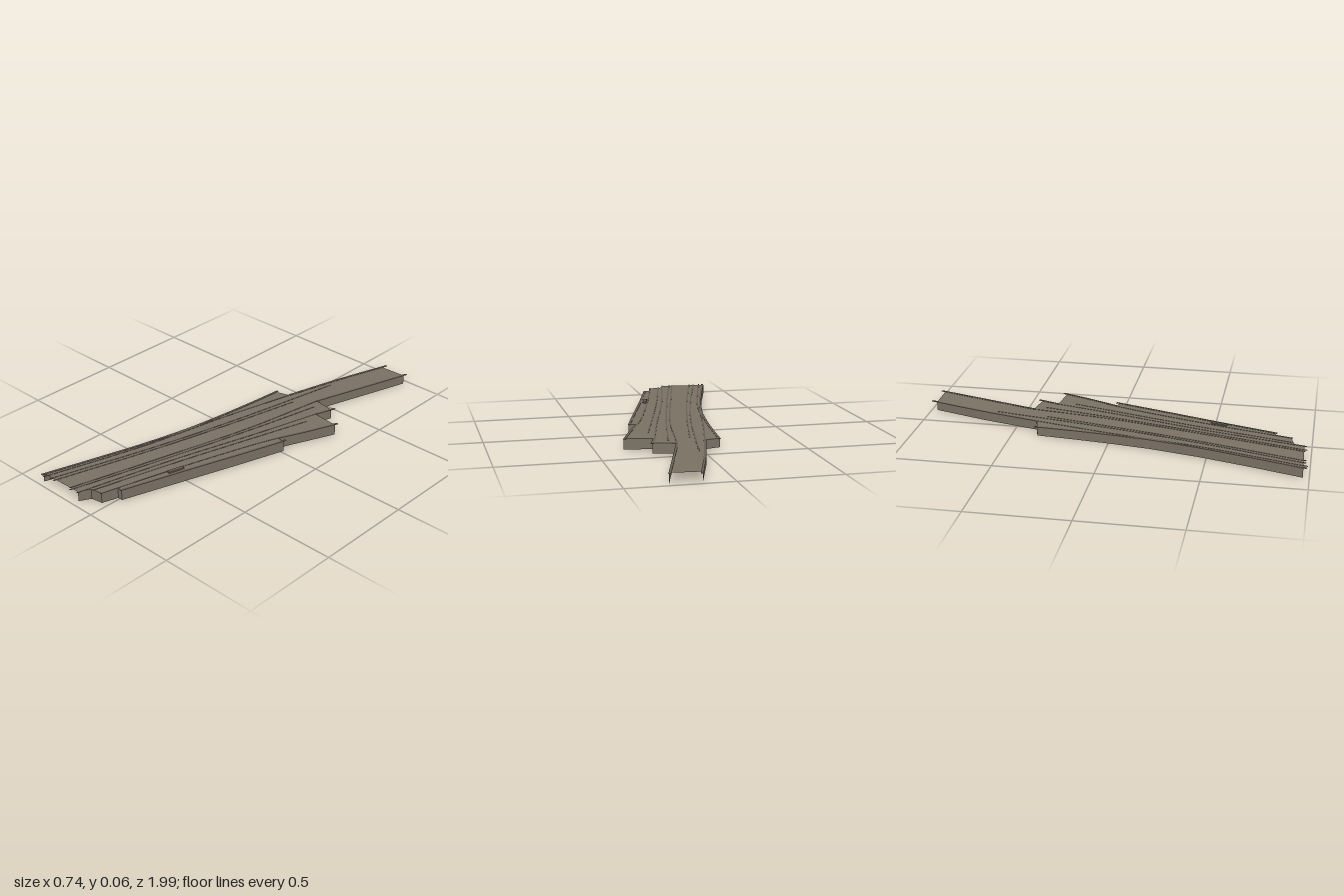
import * as THREE from 'three';

// deck outline in x,z, split into runs: left side, back end (open), right side, front end (open)
const leftSide = [[-0.37, 0.97], [-0.29, 0.71], [-0.22, 0.46], [-0.165, 0.21], [-0.135, 0], [-0.115, -0.18], [-0.098, -0.37],
  [-0.024, -0.39], [0.055, -0.69], [0.145, -0.97]];
const rightSide = [[0.295, -0.97], [0.135, -0.44], [0.245, -0.42], [0.22, -0.33], [0.362, -0.31], [0.24, -0.02],
  [0.278, -0.015], [0.2, 0.24], [0.12, 0.49], [0.015, 0.82], [-0.01, 0.82], [-0.035, 0.9], [-0.095, 0.91], [-0.125, 0.965]];

// the deck is a gently tilted plane
const deckY = (x, z) => 0.047 + (x + 0.3 * z + 0.08) * 0.024;

function flatShape(points) {
  return new THREE.Shape(points.map(([x, z]) => new THREE.Vector2(x, -z)));
}

// lay a flat geometry on the tilted deck
function layOnDeck(geometry, lift) {
  geometry.rotateX(-Math.PI / 2);
  const p = geometry.attributes.position;
  for (let i = 0; i < p.count; i++) p.setY(i, p.getY(i) + deckY(p.getX(i), p.getZ(i)) + lift);
  geometry.computeVertexNormals();
  return geometry;
}

// vertical wall from the ground to the deck edge
function skirt(points) {
  const pos = [];
  for (let i = 0; i < points.length - 1; i++) {
    const [ax, az] = points[i], [bx, bz] = points[i + 1];
    const ay = deckY(ax, az), by = deckY(bx, bz);
    pos.push(ax, 0, az, bx, by, bz, bx, 0, bz, ax, 0, az, ax, ay, az, bx, by, bz);
  }
  const g = new THREE.BufferGeometry();
  g.setAttribute('position', new THREE.Float32BufferAttribute(pos, 3));
  g.computeVertexNormals();
  return g;
}

// thin raised strip following a path over the deck
function strip(points, width, height) {
  const curve = new THREE.CatmullRomCurve3(points.map(([x, z]) => new THREE.Vector3(x, 0, z)), false, 'centripetal');
  const a = [], b = [];
  for (let i = 0; i <= 20; i++) {
    const c = curve.getPointAt(i / 20), t = curve.getTangentAt(i / 20);
    a.push([c.x - t.z * width / 2, c.z + t.x * width / 2]);
    b.unshift([c.x + t.z * width / 2, c.z - t.x * width / 2]);
  }
  const g = new THREE.ExtrudeGeometry(flatShape([...a, ...b]), { depth: height, bevelEnabled: false });
  return layOnDeck(g, -0.0005);
}

export function createModel() {
  const group = new THREE.Group();
  const deckMaterial = new THREE.MeshStandardMaterial({ color: 0x7a7164, side: THREE.DoubleSide });
  deckMaterial.name = 'stone brown';
  const stripMaterial = new THREE.MeshStandardMaterial({ color: 0x686056 });
  stripMaterial.name = 'dark stone';
  const add = (name, geometry, material) => {
    const mesh = new THREE.Mesh(geometry, material);
    mesh.name = name;
    group.add(mesh);
  };

  add('deck', layOnDeck(new THREE.ShapeGeometry(flatShape([...leftSide, ...rightSide])), 0), deckMaterial);
  add('leftSkirt', skirt(leftSide), deckMaterial);
  add('rightSkirt', skirt(rightSide), deckMaterial);

  // kerbs along the deck edges, poking out past the ends
  const kerbs = [
    [[-0.366, 0.985], [-0.285, 0.71], [-0.215, 0.46], [-0.159, 0.21], [-0.129, 0], [-0.109, -0.18], [-0.092, -0.385]],
    [[-0.018, -0.39], [0.061, -0.69], [0.156, -1]],
    [[0.297, -0.99], [0.215, -0.72], [0.13, -0.44]],
    [[0.253, -0.44], [0.215, -0.33]],
    [[0.362, -0.33], [0.3, -0.17], [0.234, -0.02]],
    [[0.278, -0.03], [0.194, 0.24], [0.114, 0.49], [0.012, 0.825]],
  ];
  for (const path of kerbs) add('kerb', strip(path, 0.012, 0.002), stripMaterial);

  // lane strips fanning out across the deck
  const lanes = [
    [[-0.345, 0.99], [-0.2, 0.46], [-0.11, 0], [-0.018, -0.39]],
    [[-0.31, 0.98], [-0.16, 0.46], [-0.05, 0], [0.07, -0.62]],
    [[-0.285, 0.98], [-0.14, 0.46], [-0.03, 0], [0.045, -0.35]],
    [[-0.18, 0.97], [-0.05, 0.46], [0.06, 0], [0.13, -0.44]],
    [[-0.165, 0.98], [-0.03, 0.46], [0.08, 0], [0.16, -0.38]],
    [[-0.122, 0.975], [0, 0.46], [0.13, 0], [0.215, -0.33]],
    [[-0.085, 0.91], [0.03, 0.46], [0.16, 0], [0.23, -0.24]],
    [[-0.035, 0.905], [0.07, 0.5], [0.19, 0.1], [0.234, -0.02]],
  ];
  for (const path of lanes) add('laneStrip', strip(path, 0.007, 0.002), stripMaterial);

  // small raised block near the right edge
  add('raisedBlock', strip([[0.088, 0.49], [0.066, 0.57]], 0.018, 0.008), stripMaterial);
  return group;
}
